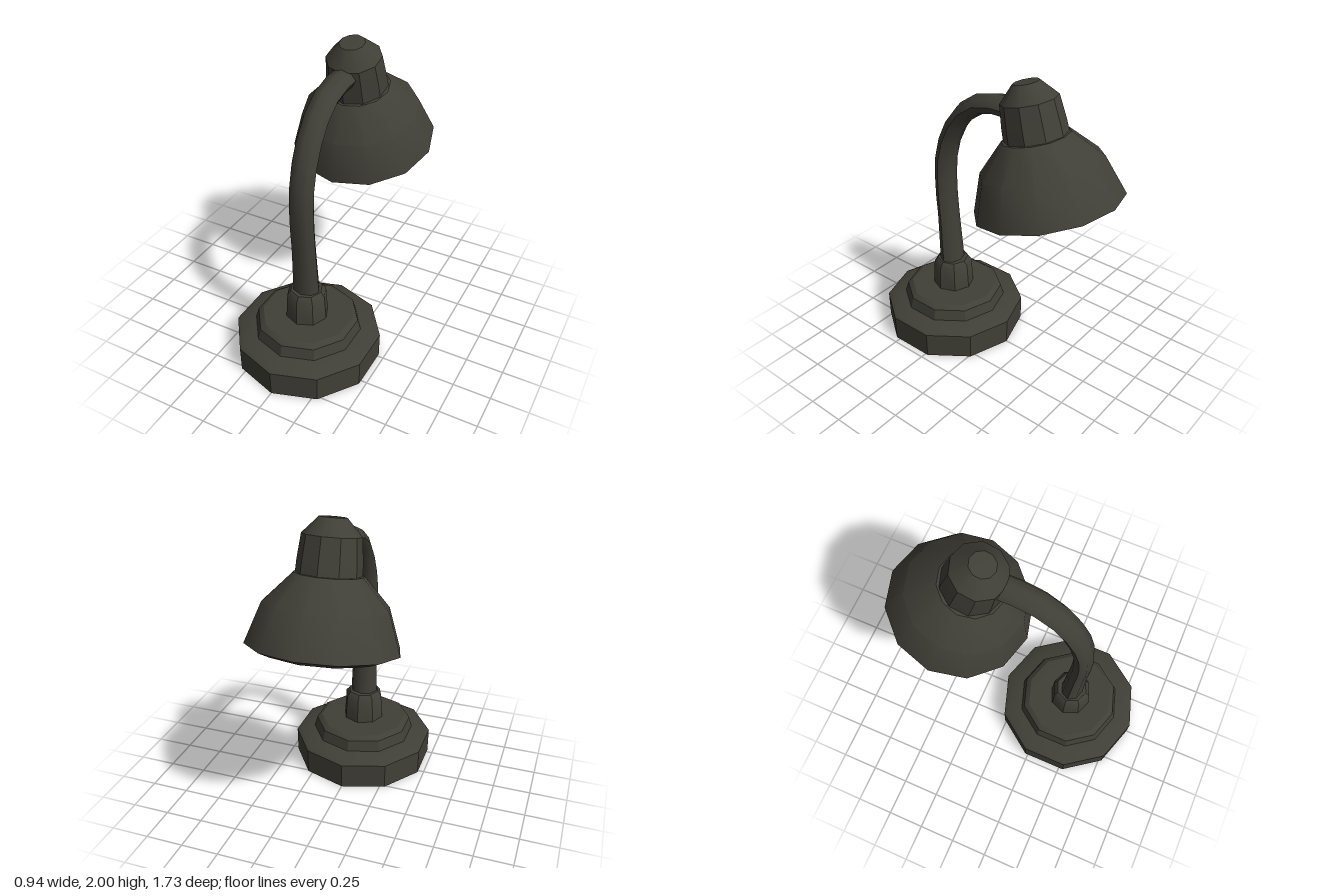
import * as THREE from 'three';
import { toCreasedNormals } from 'three/addons/utils/BufferGeometryUtils.js';

const darkEnamel = new THREE.MeshStandardMaterial({ color: 0x403f37 });
darkEnamel.name = 'darkEnamel';

// Part turned about y from a bottom-to-top profile of [radius, height] pairs
function turned(name, profile, sides) {
  const points = profile.map(([r, y]) => new THREE.Vector2(r, y));
  const geometry = toCreasedNormals(new THREE.LatheGeometry(points, sides), 0.6);
  const mesh = new THREE.Mesh(geometry, darkEnamel);
  mesh.name = name;
  return mesh;
}

function createNeck() {
  // Curved neck, following [y, z] points in the middle plane
  const path = new THREE.CatmullRomCurve3(
    [[0.45, 0.385], [0.8, 0.405], [1.1, 0.423], [1.33, 0.408], [1.5, 0.35],
      [1.66, 0.245], [1.765, 0.09], [1.79, -0.08], [1.79, -0.16]]
      .map(([y, z]) => new THREE.Vector3(0, y, z)));
  const geometry = new THREE.TubeGeometry(path, 12, 0.064, 8, false);

  // Oval section, thicker toward the foot
  const p = geometry.attributes.position;
  for (let i = 0; i < p.count; i++) {
    const flare = Math.max(0, 0.85 - p.getY(i)) / 0.4;
    p.setX(i, p.getX(i) * (1.31 + 0.17 * flare));
    p.setZ(i, p.getZ(i) + (p.getZ(i) - 0.39) * 0.2 * flare);
  }
  geometry.computeVertexNormals();
  const neck = new THREE.Mesh(toCreasedNormals(geometry, 0.9), darkEnamel);
  neck.name = 'neck';
  return neck;
}

export function createModel() {
  const lamp = new THREE.Group();
  lamp.name = 'deskLamp';

  // Stepped foot and the collar that holds the neck
  const base = turned('base', [
    [0, 0], [0.483, 0], [0.485, 0.175], [0.455, 0.193], [0.355, 0.212],
    [0.335, 0.285], [0.3, 0.31], [0, 0.32],
  ], 10);
  base.position.z = 0.38;
  const collar = turned('collar', [
    [0, 0.3], [0.142, 0.3], [0.13, 0.49], [0.105, 0.52], [0, 0.52],
  ], 8);
  collar.position.z = 0.385;
  lamp.add(base, collar, createNeck());

  // Tilted head: origin at the middle of the rim
  const head = new THREE.Group();
  head.name = 'head';
  head.position.set(0, 1.25, -0.415);
  head.rotation.x = 0.255;
  head.add(
    turned('shade', [
      [0, -0.025], [0.39, -0.033], [0.47, 0], [0.382, 0.247], [0.21, 0.427], [0, 0.44],
    ], 12),
    turned('socketCap', [
      [0, 0.4], [0.198, 0.4], [0.193, 0.5], [0.177, 0.65], [0.082, 0.752], [0, 0.755],
    ], 10),
  );
  lamp.add(head);
  return lamp;
}
